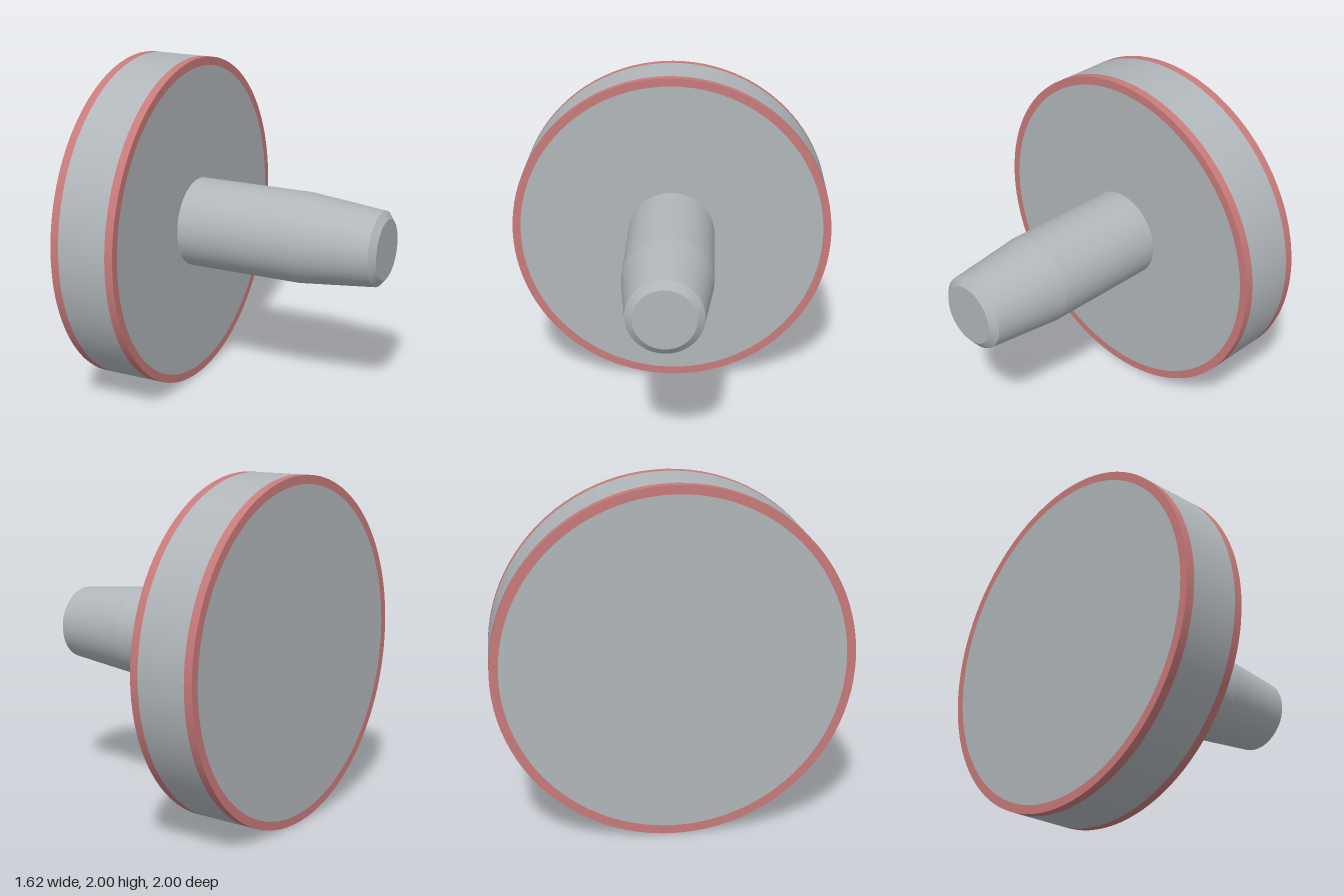
import * as THREE from 'three';

const steel = new THREE.MeshStandardMaterial({ color: 0xb0b6ba });
steel.name = 'steel grey';
const red = new THREE.MeshStandardMaterial({ color: 0xc87a7a });
red.name = 'edge red';

// Surface of revolution about the x axis; each [x, radius] span keeps crisp ends
function turned(name, material, profile) {
  const part = new THREE.Group();
  part.name = name;
  for (let i = 0; i < profile.length - 1; i++) {
    const points = [profile[i], profile[i + 1]].map(([x, r]) => new THREE.Vector2(r, x));
    const geometry = new THREE.LatheGeometry(points, 96);
    geometry.rotateZ(-Math.PI / 2);
    const mesh = new THREE.Mesh(geometry, material);
    mesh.name = name;
    part.add(mesh);
  }
  return part;
}

export function createModel() {
  const model = new THREE.Group();
  model.name = 'discWithShaft';

  const back = -0.81, front = -0.41, edge = 0.05, tip = 0.81;

  model.add(
    // Disc: plain faces and rim with red bands wrapping both edges
    turned('discBackFace', steel, [[back, 0], [back, 1 - edge]]),
    turned('backEdgeBand', red, [[back, 1 - edge], [back, 1], [back + edge, 1]]),
    turned('discRim', steel, [[back + edge, 1], [front - edge, 1]]),
    turned('frontEdgeBand', red, [[front - edge, 1], [front, 1], [front, 1 - edge]]),
    turned('discFrontFace', steel, [[front, 1 - edge], [front, 0.27]]),
    // Shaft: straight length, taper, chamfer and flat end
    turned('shaft', steel, [[front, 0.27], [0.31, 0.27], [0.775, 0.222], [tip, 0.178], [tip, 0]])
  );

  model.position.y = 1;
  const root = new THREE.Group();
  root.name = 'model';
  root.add(model);
  return root;
}
